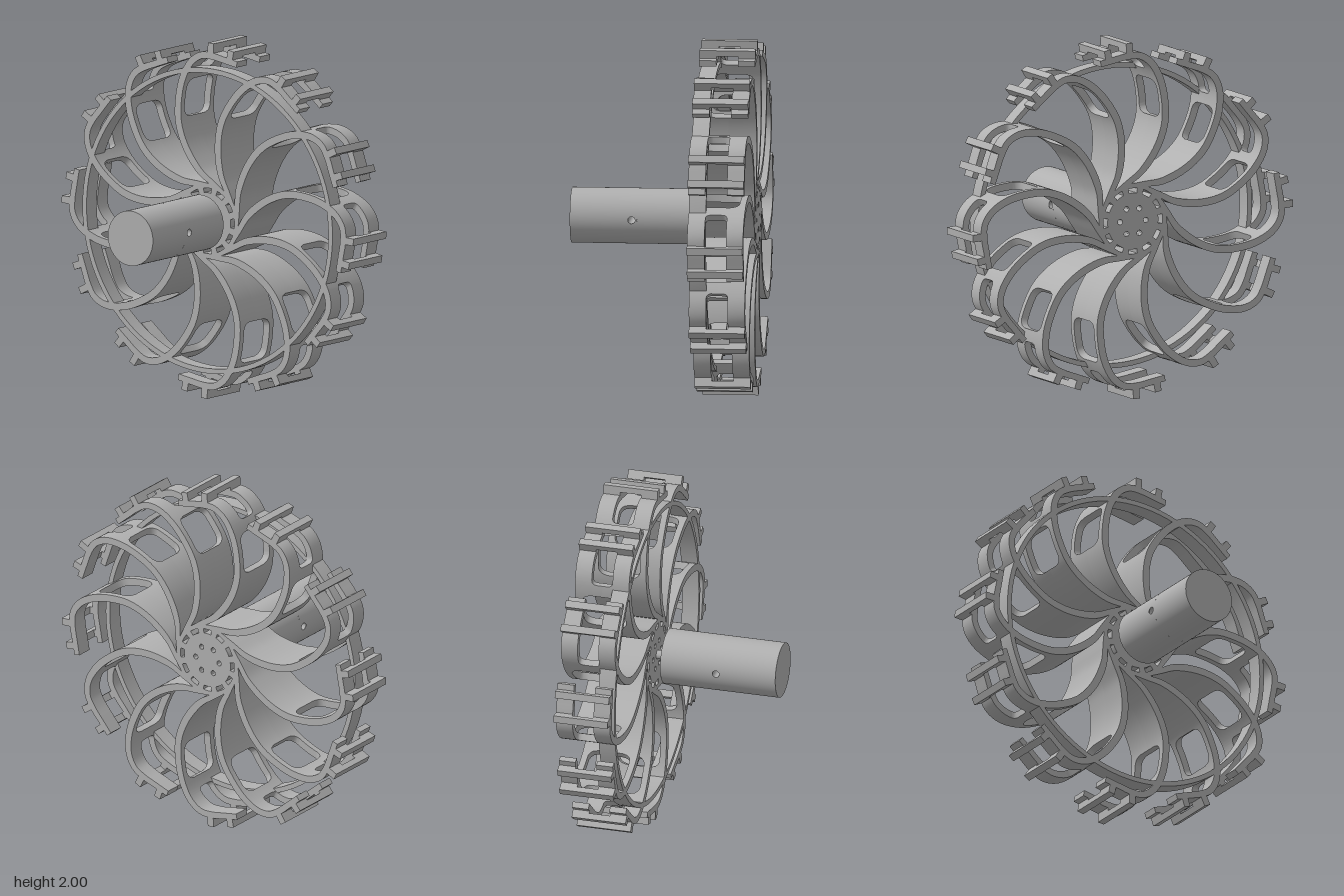
import * as THREE from 'three';
import { toCreasedNormals } from 'three/addons/utils/BufferGeometryUtils.js';

const HALF = 0.155;      // half of the wheel width
const WHEEL_Z = -0.36;   // middle of the wheel
const BLADES = 12;

// Centre line of one curved blade, from hub to tread
const path = new THREE.CatmullRomCurve3([
  [0.13, 0.15], [0.04, 0.21], [-0.055, 0.275], [-0.15, 0.4], [-0.198, 0.53], [-0.2, 0.65],
  [-0.172, 0.78], [-0.115, 0.878], [-0.045, 0.923], [0.03, 0.925], [0.11, 0.911], [0.2, 0.894],
].map(([x, y]) => new THREE.Vector3(x, y, 0)));
path.arcLengthDivisions = 400;

// Openings along the blade: start, end, half width, corner radius
const windows = [
  { a: 0.45, b: 0.635, w: 0.12, r: 0.05 },
  { a: 0.69, b: 1.2, w: 0.06, r: 0.025 },
];

// Half width of the opening at a given place along the blade
function opening(u, win) {
  const len = path.getLength();
  const d = Math.min(u - win.a, win.b - u) * len;
  if (d >= win.r) return win.w;
  return win.w - win.r + Math.sqrt(Math.max(0, win.r ** 2 - (win.r - d) ** 2));
}

// Sections along the blade, doubled where an opening starts or ends
function bladeSections() {
  const list = [];
  const add = (u, e) => list.push({ u, e });
  for (let i = 0; i <= 60; i++) {
    const u = i / 60;
    if (!windows.some((w) => u >= w.a && u <= w.b)) add(u, 0);
  }
  for (const w of windows) {
    add(w.a, 0);
    const end = Math.min(1, w.b);
    const corner = w.r / path.getLength();
    for (let k = 0; k < 6; k++) add(w.a + corner * k / 6, opening(w.a + corner * k / 6, w));
    for (let k = 0; k <= 18; k++) {
      const u = w.a + corner + (end - w.a - corner - (w.b < 1 ? corner : 0)) * k / 18;
      add(u, opening(u, w));
    }
    if (w.b < 1) {
      for (let k = 5; k >= 0; k--) add(w.b - corner * k / 6, opening(w.b - corner * k / 6, w));
      add(w.b, 0);
    }
  }
  return list.sort((p, q) => p.u - q.u);
}

// One half of a blade's width, swept through its sections
function bladeHalf(front) {
  const pos = [], idx = [];
  const sections = bladeSections();
  sections.forEach(({ u, e }) => {
    const p = path.getPointAt(u), t = path.getTangentAt(u);
    const h = Math.min(0.021, 0.012 + u * 0.04) - 0.004 * Math.max(0, u - 0.6) / 0.4;
    const hi = front ? HALF : -e, lo = front ? e : -HALF;
    for (const [s, z] of [[h, hi], [-h, hi], [-h, lo], [h, lo]]) {
      pos.push(p.x - t.y * s, p.y + t.x * s, z);
    }
  });
  const n = sections.length;
  for (let i = 0; i < n - 1; i++) {
    for (let k = 0; k < 4; k++) {
      const a = i * 4 + k, b = i * 4 + (k + 1) % 4;
      idx.push(a, b, b + 4, a, b + 4, a + 4);
    }
  }
  const l = (n - 1) * 4;
  idx.push(2, 1, 0, 3, 2, 0, l, l + 1, l + 2, l, l + 2, l + 3);
  const geo = new THREE.BufferGeometry();
  geo.setAttribute('position', new THREE.Float32BufferAttribute(pos, 3));
  geo.setIndex(idx);
  return toCreasedNormals(geo, 0.5);
}

// Hub disc with a ring of slots and bolt holes
function hubGeometry() {
  const shape = new THREE.Shape().absarc(0, 0, 0.203, 0, Math.PI * 2);
  for (let i = 0; i < 12; i++) {
    const a = i * Math.PI / 6, w = 0.15;
    const slot = new THREE.Path();
    slot.absarc(0, 0, 0.184, a - w, a + w, false);
    slot.absarc(0, 0, 0.158, a + w, a - w, true);
    slot.closePath();
    shape.holes.push(slot);
  }
  for (let i = 0; i < 6; i++) {
    const a = i * Math.PI / 3;
    shape.holes.push(new THREE.Path().absarc(0.08 * Math.cos(a), 0.08 * Math.sin(a), 0.015, 0, Math.PI * 2));
  }
  const geo = new THREE.ExtrudeGeometry(shape, { depth: HALF * 2, bevelEnabled: false, curveSegments: 32 });
  return toCreasedNormals(geo.translate(0, 0, -HALF), 0.5);
}

// Square patch of the motor wall with a round hole in it
function holePatch(R, hole, half) {
  const pos = [], nor = [], idx = [], n = 32;
  for (let i = 0; i <= n; i++) {
    const a = i / n * Math.PI * 2, c = Math.cos(a), s = Math.sin(a);
    const q = half / Math.max(Math.abs(c), Math.abs(s));
    for (const r of [hole, q]) {
      const y = r * c, z = r * s, x = Math.sqrt(R * R - y * y);
      pos.push(x, y, z);
      nor.push(x / R, y / R, 0);
    }
    if (i < n) idx.push(i * 2, i * 2 + 1, i * 2 + 3, i * 2, i * 2 + 3, i * 2 + 2);
  }
  const geo = new THREE.BufferGeometry();
  geo.setAttribute('position', new THREE.Float32BufferAttribute(pos, 3));
  geo.setAttribute('normal', new THREE.Float32BufferAttribute(nor, 3));
  geo.setIndex(idx);
  return geo;
}

export function createModel() {
  const model = new THREE.Group();
  model.name = 'motorWheel';
  const grey = new THREE.MeshStandardMaterial({ color: 0xb0b0b0, side: THREE.DoubleSide });
  grey.name = 'grey';
  const add = (parent, name, geo, x = 0, y = 0, z = 0) => {
    const mesh = new THREE.Mesh(geo, grey);
    mesh.name = name;
    mesh.position.set(x, y, z);
    parent.add(mesh);
    return mesh;
  };

  // Wheel: hub, rim and blades
  const wheel = new THREE.Group();
  wheel.name = 'wheel';
  wheel.position.set(0, 1, WHEEL_Z);
  model.add(wheel);
  add(wheel, 'hub', hubGeometry());

  const rimProfile = [[0.827, 0.06], [0.855, 0.06], [0.855, HALF], [0.827, HALF], [0.827, 0.06]]
    .map(([r, z]) => new THREE.Vector2(r, z));
  add(wheel, 'rim', toCreasedNormals(new THREE.LatheGeometry(rimProfile, 96).rotateX(Math.PI / 2), 0.5));

  const halves = [bladeHalf(true), bladeHalf(false)];
  const bridge = new THREE.BoxGeometry(0.04, 0.034, HALF * 2);
  const foot = new THREE.BoxGeometry(0.04, 0.035, HALF - 0.06);
  for (let i = 0; i < BLADES; i++) {
    const blade = new THREE.Group();
    blade.name = 'blade';
    blade.rotation.z = i * Math.PI * 2 / BLADES;
    wheel.add(blade);
    add(blade, 'bladeFront', halves[0]);
    add(blade, 'bladeBack', halves[1]);
    // Tread lugs bridging the open slot
    for (const [x, y, tilt] of [[0.022, 0.98, -0.06], [0.156, 0.95, -0.19]]) {
      const lug = new THREE.Group();
      lug.name = 'treadLug';
      lug.position.set(x, y, 0);
      lug.rotation.z = tilt;
      blade.add(lug);
      add(lug, 'lugBar', bridge);
      for (const s of [1, -1]) add(lug, 'lugFoot', foot, 0, -0.033, s * (HALF + 0.06) / 2);
    }
  }

  // Motor with a cross hole through its body
  const motor = new THREE.Group();
  motor.name = 'motor';
  motor.position.set(0, 1, 0);
  model.add(motor);
  const R = 0.154, holeZ = 0.175, half = 0.03, front = 0.517, back = -0.145;
  const wall = (name, z0, z1, start = 0, sweep = Math.PI * 2) => add(motor, name,
    new THREE.CylinderGeometry(R, R, z1 - z0, 64, 1, true, start, sweep).rotateX(Math.PI / 2), 0, 0, (z0 + z1) / 2);
  wall('motorFrontWall', holeZ + half, front);
  wall('motorBackWall', back, holeZ - half);
  const gap = Math.asin(half / R);
  for (const s of [0, 1]) {
    wall('motorMiddleWall', holeZ - half, holeZ + half, Math.PI / 2 + gap + s * Math.PI, Math.PI - 2 * gap);
    add(motor, 'motorHoleWall', holePatch(R, 0.02, half), 0, 0, holeZ).rotation.z = s * Math.PI;
  }
  add(motor, 'motorHole', new THREE.CylinderGeometry(0.02, 0.02, R * 2 - 0.003, 24, 1, true).rotateZ(Math.PI / 2), 0, 0, holeZ);
  add(motor, 'motorFrontFace', new THREE.CircleGeometry(R, 64), 0, 0, front);
  add(motor, 'motorBackFace', new THREE.CircleGeometry(R, 64).rotateY(Math.PI), 0, 0, back);
  add(motor, 'shaft', new THREE.CylinderGeometry(0.025, 0.025, 0.1, 32).rotateX(Math.PI / 2), 0, 0, -0.185);

  return model;
}
